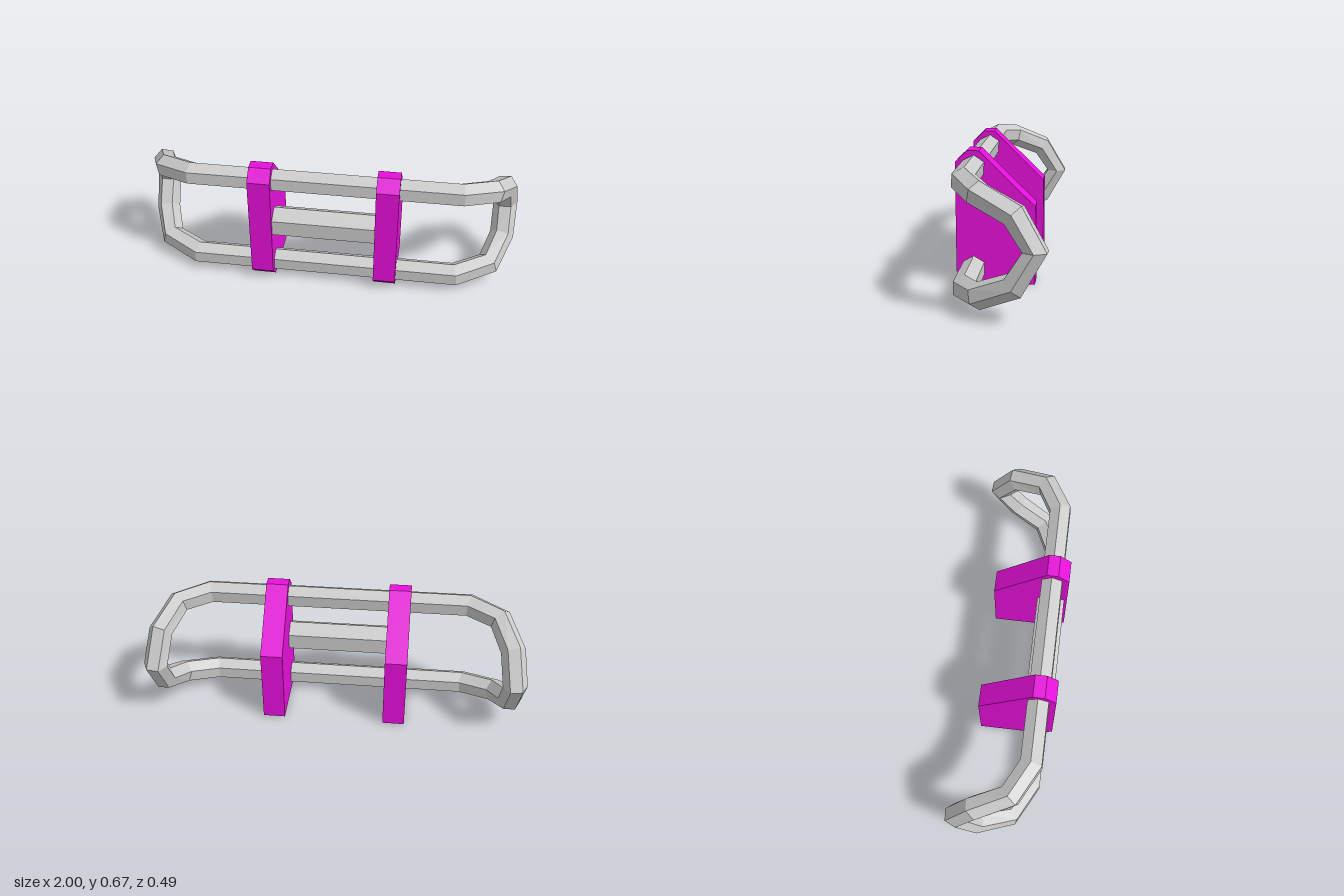
import * as THREE from 'three';

const grey = new THREE.MeshStandardMaterial({ color: 0xcccccc, flatShading: true });
const magenta = new THREE.MeshStandardMaterial({ color: 0xe610da, flatShading: true });

// Centre line of the +x half of the loop, from the lower rail up to the upper rail
const PATH = [
  [0.69, 0.078, 0.16], [0.865, 0.103, 0.072], [0.932, 0.178, -0.094],
  [0.937, 0.335, -0.188],
  [0.915, 0.49, -0.094], [0.85, 0.566, 0.075], [0.69, 0.589, 0.16],
].map(p => new THREE.Vector3(...p));

// Closed hexagonal tube: rings carried along the path without twist, then mirrored in x
function loopGeometry(radius, sides = 6) {
  const n = PATH.length;
  const dirs = [new THREE.Vector3(1, 0, 0)];
  for (let i = 0; i < n - 1; i++) dirs.push(PATH[i + 1].clone().sub(PATH[i]).normalize());
  dirs.push(new THREE.Vector3(-1, 0, 0));

  const up = new THREE.Vector3(0, 1, 0);
  const turn = new THREE.Quaternion();
  let previous = dirs[0];
  const half = PATH.map((p, i) => {
    const tangent = dirs[i].clone().add(dirs[i + 1]).normalize();
    up.applyQuaternion(turn.setFromUnitVectors(previous, tangent));
    previous = tangent;
    return Array.from({ length: sides }, (_, j) =>
      up.clone().applyAxisAngle(tangent, j * 2 * Math.PI / sides).multiplyScalar(radius).add(p));
  });
  const mirrored = half.map(ring => ring.map(v => new THREE.Vector3(-v.x, v.y, v.z))).reverse();
  const rings = [...half, ...mirrored];

  const index = [];
  for (let i = 0; i < rings.length; i++) {
    const next = (i + 1) % rings.length;
    for (let j = 0; j < sides; j++) {
      const k = (j + 1) % sides;
      const a = i * sides + j, b = i * sides + k, c = next * sides + k, d = next * sides + j;
      index.push(a, b, c, a, c, d);
    }
  }
  const geometry = new THREE.BufferGeometry().setFromPoints(rings.flat());
  geometry.setIndex(index);
  geometry.computeVertexNormals();
  return geometry;
}

// Upright plate: chamfered front corners and a sloping upper back, drawn as (z, y)
function bracketGeometry(width) {
  const outline = [
    [-0.147, 0], [0.19, 0], [0.248, 0.058], [0.248, 0.616],
    [0.19, 0.673], [0.13, 0.673], [-0.147, 0.4],
  ].map(p => new THREE.Vector2(...p));
  return new THREE.ExtrudeGeometry(new THREE.Shape(outline), { depth: width, bevelEnabled: false })
    .translate(0, 0, -width / 2)
    .rotateY(-Math.PI / 2);
}

export function createModel() {
  const model = new THREE.Group();
  model.name = 'bumperGuard';
  const add = (name, geometry, material) => {
    const mesh = new THREE.Mesh(geometry, material);
    mesh.name = name;
    model.add(mesh);
    return mesh;
  };

  add('outerLoop', loopGeometry(0.063), grey);

  // Thicker short bar between the brackets
  const bar = new THREE.CylinderGeometry(0.084, 0.084, 0.6, 6)
    .rotateY(Math.PI / 2)
    .rotateZ(Math.PI / 2);
  add('middleBar', bar, grey).position.set(0, 0.335, 0.161);

  for (const side of [1, -1]) {
    add(side > 0 ? 'leftBracket' : 'rightBracket', bracketGeometry(0.116), magenta)
      .position.x = side * 0.325;
  }
  return model;
}
